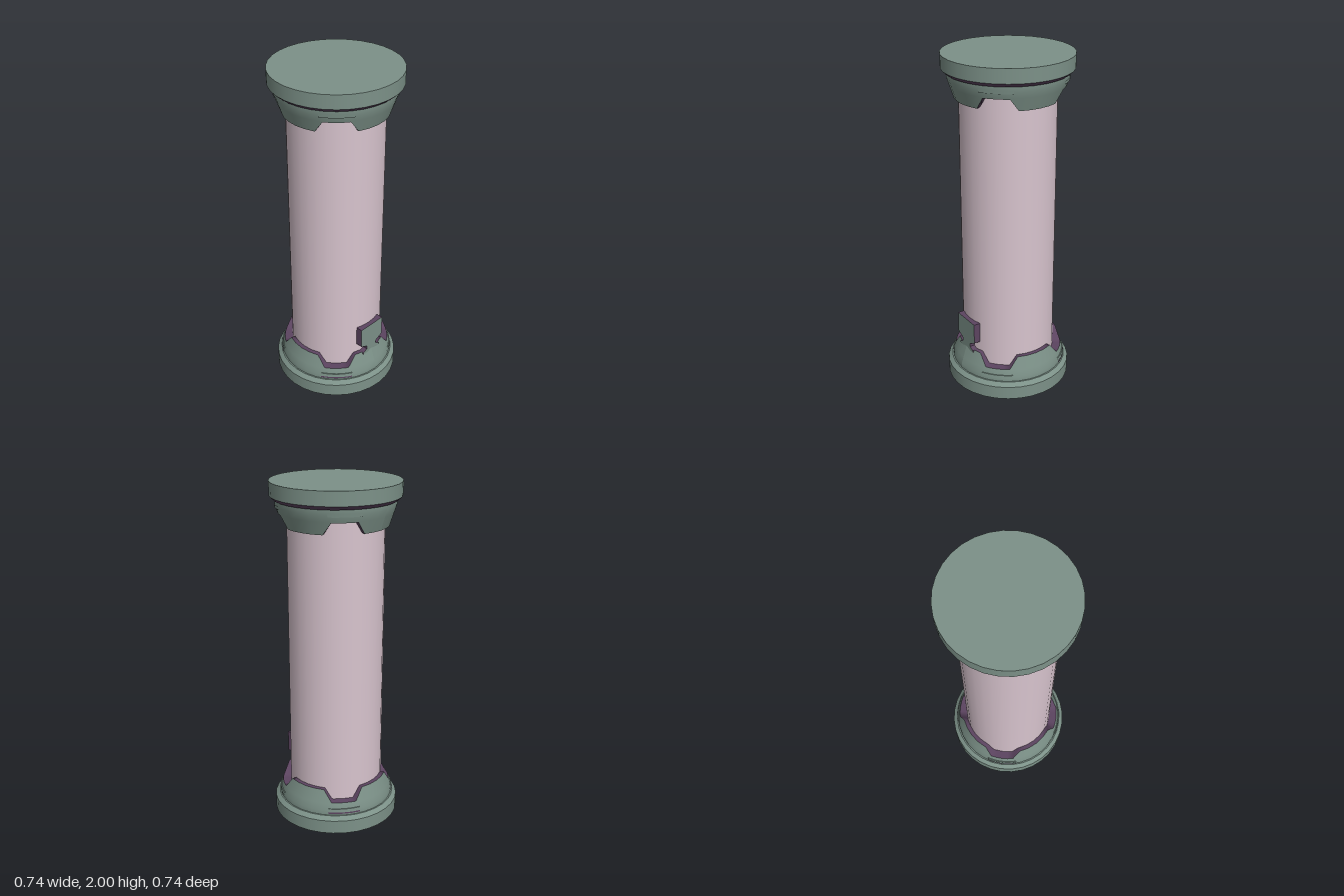
import * as THREE from 'three';

const SIDES = 32;
const green = new THREE.MeshStandardMaterial({ color: 0x7c9188 });
green.name = 'sage green';
const pink = new THREE.MeshStandardMaterial({ color: 0xd8c4ce });
pink.name = 'pale pink';
const purple = new THREE.MeshStandardMaterial({ color: 0x5c4460, side: THREE.DoubleSide });
purple.name = 'dark purple';

function add(parent, name, geometry, material, y = 0) {
  const mesh = new THREE.Mesh(geometry, material);
  mesh.name = name;
  mesh.position.y = y;
  parent.add(mesh);
  return mesh;
}

// Surface between rings of points: point(angle, row) gives [radius, height]
function ringSurface(angles, rows, point) {
  const pos = [], index = [];
  const n = angles.length;
  for (let r = 0; r < rows; r++) {
    for (const a of angles) {
      const [radius, y] = point(a, r);
      pos.push(Math.sin(a) * radius, y, Math.cos(a) * radius);
    }
  }
  for (let r = 0; r < rows - 1; r++) {
    for (let i = 0; i < n - 1; i++) {
      const a = r * n + i, b = a + 1, c = a + n, d = c + 1;
      index.push(a, b, d, a, d, c);
    }
  }
  const geometry = new THREE.BufferGeometry();
  geometry.setAttribute('position', new THREE.Float32BufferAttribute(pos, 3));
  geometry.setIndex(index);
  geometry.computeVertexNormals();
  return geometry;
}

// Collar outline: four teeth, with sloped notches on the diagonals
const rad = THREE.MathUtils.degToRad;
const collarAngles = [];
for (let q = 0; q < 4; q++) {
  for (const d of [0, 11.5, 23, 32, 38.5, 45, 51.5, 58, 67, 78.5]) collarAngles.push(rad(q * 90 + d));
}
collarAngles.push(Math.PI * 2);

function rimHeight(angle) {
  const d = THREE.MathUtils.radToDeg(angle) % 90;
  const off = Math.abs(d - 45); // from the notch centre
  return THREE.MathUtils.lerp(0.175, 0.245, THREE.MathUtils.clamp((off - 13) / 9, 0, 1));
}
const collarRadius = (y) => (y < 0.13 ? 0.338 : 0.338 - (y - 0.13) * 0.33);

// One end of the column, standing on y = 0
function makeEnd(name, bevelMaterial, undersideMaterial, stripMaterial) {
  const end = new THREE.Group();
  end.name = name;

  // Disc and its bevelled shoulder
  add(end, 'disc', new THREE.CylinderGeometry(0.37, 0.37, 0.08, SIDES),
    [green, green, undersideMaterial], 0.04);
  add(end, 'shoulder', new THREE.CylinderGeometry(0.346, 0.37, 0.022, SIDES),
    [bevelMaterial, bevelMaterial, green], 0.091);

  // Notched collar with a dark rim
  add(end, 'collar', ringSurface(collarAngles, 4, (a, r) => {
    const y = [0.1, 0.13, 0.17, rimHeight(a)][r];
    return [collarRadius(y), y];
  }), green);
  add(end, 'collarRim', ringSurface(collarAngles, 2, (a, r) => {
    const y = rimHeight(a);
    return [r ? 0.268 : collarRadius(y), y];
  }), purple);

  // Low ledge under each notch
  for (let q = 0; q < 4; q++) {
    const start = rad(q * 90 + 29), sweep = rad(32);
    add(end, 'notchLedge', new THREE.CylinderGeometry(0.339, 0.342, 0.02, 8, 1, true, start, sweep), green, 0.132);
    add(end, 'notchLedgeTop', ringSurface(
      Array.from({ length: 9 }, (_, i) => start + sweep * i / 8), 2,
      (a, r) => [r ? 0.33 : 0.339, 0.142]), green);
    if (q > 0 && stripMaterial) {
      add(end, 'notchStrip', new THREE.CylinderGeometry(0.343, 0.343, 0.009, 8, 1, true, start, sweep),
        stripMaterial, 0.118);
    }
  }
  return end;
}

export function createModel() {
  const model = new THREE.Group();
  model.name = 'column';

  // Shaft
  add(model, 'shaft', new THREE.CylinderGeometry(0.275, 0.275, 1.8, SIDES, 1, true), pink, 1);

  // Base, and the same form turned over as capital
  model.add(makeEnd('base', green, purple, purple));
  const capital = makeEnd('capital', purple, green, null);
  capital.rotation.x = Math.PI;
  capital.position.y = 2;
  model.add(capital);

  // Plaque on a short stem, rising from the front tooth
  const half = [[0.09, 0.43], [0.09, 0.305], [0.04, 0.28], [0.04, 0.258], [0.07, 0.243], [0.07, 0.23]];
  const outline = [...half, ...half.map(([x, y]) => [-x, y]).reverse()];
  const shape = new THREE.Shape(outline.map(([x, y]) => new THREE.Vector2(x, y)));
  const plaque = add(model, 'plaque',
    new THREE.ExtrudeGeometry(shape, { depth: 0.04, bevelEnabled: false }), [green, purple]);
  plaque.position.z = 0.261;

  return model;
}
